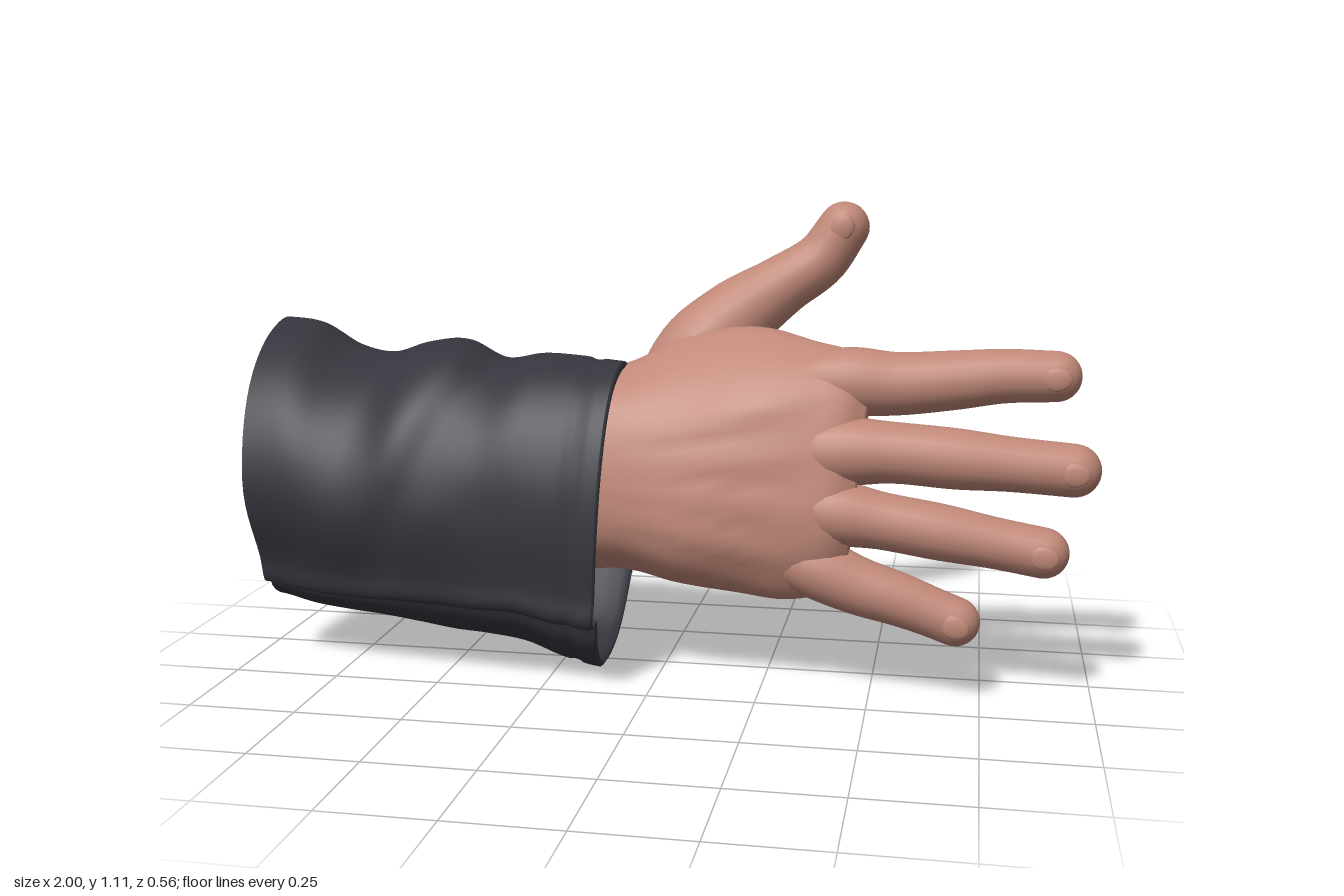
import * as THREE from 'three';

const V = (x, y, z) => new THREE.Vector3(x, y, z);
const { lerp, clamp, smoothstep } = THREE.MathUtils;
const bump = (d, w) => Math.exp(-(d * d) / (w * w));
const centre = ring => ring.reduce((s, p) => s.add(p), V(0, 0, 0)).divideScalar(ring.length);

// Smooth skin over equal-sized closed rings; optional fans close the ends
function loft(rings, capStart, capEnd) {
  const n = rings[0].length, pos = [], idx = [];
  rings.forEach(r => r.forEach(p => pos.push(p.x, p.y, p.z)));
  for (let i = 0; i < rings.length - 1; i++) {
    for (let j = 0; j < n; j++) {
      const k = (j + 1) % n, a = i * n + j, b = i * n + k;
      idx.push(a, b, a + n, b, b + n, a + n);
    }
  }
  const fan = (ring, base, flip) => {
    const c = centre(ring), m = pos.length / 3;
    pos.push(c.x, c.y, c.z);
    for (let j = 0; j < n; j++) {
      const a = base + j, b = base + (j + 1) % n;
      flip ? idx.push(m, b, a) : idx.push(m, a, b);
    }
  };
  if (capStart) fan(rings[0], 0, true);
  if (capEnd) fan(rings[rings.length - 1], (rings.length - 1) * n, false);
  const g = new THREE.BufferGeometry();
  g.setAttribute('position', new THREE.Float32BufferAttribute(pos, 3));
  g.setIndex(idx);
  g.computeVertexNormals();
  return g;
}

// Closed smooth outline from [y, z] points
function outline(points, count) {
  const c = new THREE.CatmullRomCurve3(points.map(([y, z]) => V(0, y, z)), true);
  return Array.from({ length: count }, (_, i) => c.getPoint(i / count));
}

// Round-tipped digit; path points are [x, y, z, radius]
function digit(path) {
  const curve = new THREE.CatmullRomCurve3(path.map(p => V(p[0], p[1], p[2])));
  const radii = new THREE.CatmullRomCurve3(path.map((p, i) => V(p[3], i, 0)));
  const rings = [], N = 28, S = 20;
  const addRing = (c, T, r) => {
    const A = V(0, 0, 1).cross(T).normalize(), B = T.clone().cross(A);
    rings.push(Array.from({ length: S }, (_, j) => {
      const t = j / S * Math.PI * 2;
      return c.clone().addScaledVector(A, Math.cos(t) * r).addScaledVector(B, Math.sin(t) * r);
    }));
  };
  for (let i = 0; i <= N; i++) addRing(curve.getPoint(i / N), curve.getTangent(i / N), radii.getPoint(i / N).x);
  const T = curve.getTangent(1), end = curve.getPoint(1), r = path[path.length - 1][3];
  for (let i = 1; i <= 7; i++) {
    const a = i / 7.3 * Math.PI / 2;
    addRing(end.clone().addScaledVector(T, Math.sin(a) * r), T, Math.cos(a) * r);
  }
  return loft(rings, true, true);
}

// Palm and forearm sections: x, then [y, z] from the top over the back of the hand
const PALM = [
  [-0.42, [[.68, 0], [.63, .11], [.49, .17], [.3, .19], [.21, .1], [.29, -.05], [.46, -.13], [.61, -.12]]],
  [-0.10, [[.73, -.02], [.66, .13], [.5, .195], [.34, .185], [.25, .07], [.3, -.08], [.46, -.155], [.64, -.17]]],
  [0.05, [[.8, -.06], [.69, .12], [.5, .2], [.32, .2], [.23, .1], [.29, -.08], [.48, -.15], [.69, -.22]]],
  [0.20, [[.82, -.05], [.71, .13], [.53, .2], [.33, .205], [.22, .12], [.28, -.04], [.48, -.065], [.69, -.16]]],
  [0.33, [[.795, 0], [.72, .12], [.54, .19], [.35, .21], [.215, .14], [.28, .03], [.5, .0], [.7, -.06]]],
  [0.42, [[.775, .03], [.71, .11], [.54, .175], [.36, .2], [.235, .14], [.31, .075], [.52, .035], [.69, -.02]]],
  [0.465, [[.74, .03], [.69, .085], [.54, .145], [.38, .175], [.28, .14], [.35, .11], [.52, .07], [.67, .01]]],
];

const FINGERS = {
  index: [[.2, .68, .04, .03], [.32, .7, .045, .062], [.43, .71, .043, .079], [.54, .707, .04, .073], [.67, .718, .035, .068], [.78, .73, .032, .062], [.894, .732, .03, .058]],
  middle: [[.18, .55, .08, .03], [.3, .555, .1, .062], [.41, .56, .11, .08], [.54, .562, .115, .07], [.68, .553, .115, .069], [.8, .545, .114, .062], [.938, .535, .11, .06]],
  ring: [[.18, .45, .11, .03], [.3, .438, .13, .06], [.41, .425, .138, .075], [.52, .41, .142, .065], [.65, .39, .142, .064], [.77, .37, .14, .058], [.878, .352, .14, .057]],
  little: [[.16, .36, .11, .03], [.27, .33, .13, .056], [.37, .295, .138, .071], [.47, .256, .142, .066], [.56, .23, .142, .061], [.63, .206, .142, .057], [.69, .184, .142, .056]],
  thumb: [[-.1, .54, -.03, .04], [.04, .725, -.11, .1], [.14, .825, -.157, .093], [.25, .905, -.19, .073], [.34, .967, -.212, .066], [.395, 1.045, -.217, .061]],
};

function palmGeometry() {
  const S = 56, M = 44;
  const sections = PALM.map(([x, pts]) => outline(pts, S).map(p => p.setX(x)));
  const columns = Array.from({ length: S }, (_, j) => new THREE.CatmullRomCurve3(sections.map(s => s[j])));
  const rings = [];
  for (let i = 0; i <= M; i++) {
    rings.push(columns.map(c => {
      const p = c.getPoint(i / M), along = clamp(p.x / 0.4, 0, 1);
      // Tendons fan out over the back of the hand
      if (p.z > .06 && p.x > -.1) {
        const fade = Math.sin(Math.PI * Math.min(1, (p.x + .1) / .5));
        for (const y of [.7, .56, .43, .3]) p.z += .009 * fade * bump(p.y - lerp(.5 + (y - .5) * .5, y, along), .022);
      }
      p.x += (p.y - .5) * .1 * along;
      return p;
    }));
  }
  return loft(rings, true, true);
}

// Sleeve outline [height fraction, z] with the overlapping placket lip at the lower front
const SLEEVE = [[1, .03], [.96, .13], [.86, .205], [.68, .26], [.47, .278], [.3, .272], [.235, .275], [.205, .258], [.215, .23], [.13, .2],
  [.04, .13], [0, .05], [.05, -.06], [.2, -.165], [.37, -.245], [.55, -.275], [.72, -.25], [.88, -.165], [.97, -.06]];

// Sleeve silhouette along its length: [x, top, bottom]
const PROFILE = [[-1, .81, .135], [-.9, .8, .115], [-.82, .75, .105], [-.75, .735, .097], [-.66, .765, .085], [-.58, .775, .072],
  [-.46, .735, .066], [-.34, .75, .053], [-.22, .748, .02], [-.1, .74, .0]];

function sleeveRings() {
  const shape = outline(SLEEVE, 96), M = 64;
  const top = new THREE.SplineCurve(PROFILE.map(p => new THREE.Vector2(p[0], p[1])));
  const bottom = new THREE.SplineCurve(PROFILE.map(p => new THREE.Vector2(p[0], p[2])));
  const rings = [];
  for (let i = 0; i <= M; i++) {
    const u = i / M, hi = top.getPoint(u).y, lo = bottom.getPoint(u).y;
    const lip = lerp(.1, .22, u), folds = Math.sin(Math.PI * Math.min(1, u * 1.05)) * .011;
    const hem = 1 - .018 * bump(u - .93, .014) + .01 * bump(u - .98, .03);
    rings.push(shape.map(s => {
      const t = s.y < .22 ? s.y / .22 * lip : lip + (s.y - .22) / .78 * (1 - lip);
      const x = lerp(-.96 - .04 * t ** 3, -.15 + .05 * Math.sqrt(Math.max(t, 0)), u), y = lerp(lo, hi, t);
      // Diagonal cloth folds, strongest on the upper half
      const wave = Math.sin(17 * x + 9 * y + 1.6 * Math.sin(6 * x - 5 * y)) + .5 * Math.sin(27 * x - 12 * y);
      const puff = 1 + folds * wave * (.6 + 1.8 * t) - .05 * bump(x + .55 - (y - .5) * .5, .06) * t;
      // The back narrows toward the cuff, the lower front toward the upper end, where the top leans back
      const narrow = s.z < 0 ? 1 - .1 * smoothstep(u, .5, .85) : 1 - .36 * (1 - u) * (1 - smoothstep(t, .05, .5));
      const lean = -.15 * (1 - u) * Math.max(t, 0) ** 5;
      const z = s.z * lerp(.93, 1, Math.min(1, u * 3)) * puff * hem * narrow + lean;
      const mid = (hi + lo) / 2;
      return V(x, mid + (y - mid) * Math.min(1, hem), z);
    }));
  }
  return rings;
}

export function createModel() {
  const model = new THREE.Group();
  const skin = new THREE.MeshStandardMaterial({ color: 0xc08878 });
  skin.name = 'skin';
  const cloth = new THREE.MeshStandardMaterial({ color: 0x35363d });
  cloth.name = 'dark cloth';
  const add = (name, geometry, material, parent) => {
    const m = new THREE.Mesh(geometry, material);
    m.name = name;
    parent.add(m);
    return m;
  };

  // Hand
  const hand = new THREE.Group();
  hand.name = 'hand';
  model.add(hand);
  add('palmAndForearm', palmGeometry(), skin, hand);
  for (const [name, path] of Object.entries(FINGERS)) {
    add(name === 'thumb' ? name : name + 'Finger', digit(path), skin, hand);
    // Nail set into the outer face of the fingertip
    const [x, y, z, r] = path[path.length - 1], prev = path[path.length - 2];
    const nail = add(name + 'Nail', new THREE.SphereGeometry(1, 16, 10), skin, hand);
    nail.scale.set(.034, .027, .009);
    nail.position.set(x, y, z + r * .9);
    nail.rotation.z = Math.atan2(y - prev[1], x - prev[0]);
  }

  // Sleeve: outer cloth, rolled rim running into the lining, and closed upper end
  const sleeve = new THREE.Group();
  sleeve.name = 'sleeve';
  model.add(sleeve);
  const rings = sleeveRings(), cuff = rings[rings.length - 1];
  const inset = (ring, k, dx) => {
    const c = centre(ring);
    return ring.map(p => V(p.x + dx, lerp(c.y, p.y, k), lerp(c.z, p.z, k)));
  };
  const lining = [cuff, inset(cuff, .985, .007), inset(cuff, .96, .005)];
  for (let i = 63; i >= 42; i -= 3) lining.push(inset(rings[i], lerp(.82, .935, (i - 42) / 21), 0));
  add('sleeveOuter', loft(rings), cloth, sleeve);
  add('cuffLining', loft(lining, false, true), cloth, sleeve);
  add('sleeveEnd', loft([rings[0]], true, false), cloth, sleeve);
  return model;
}
